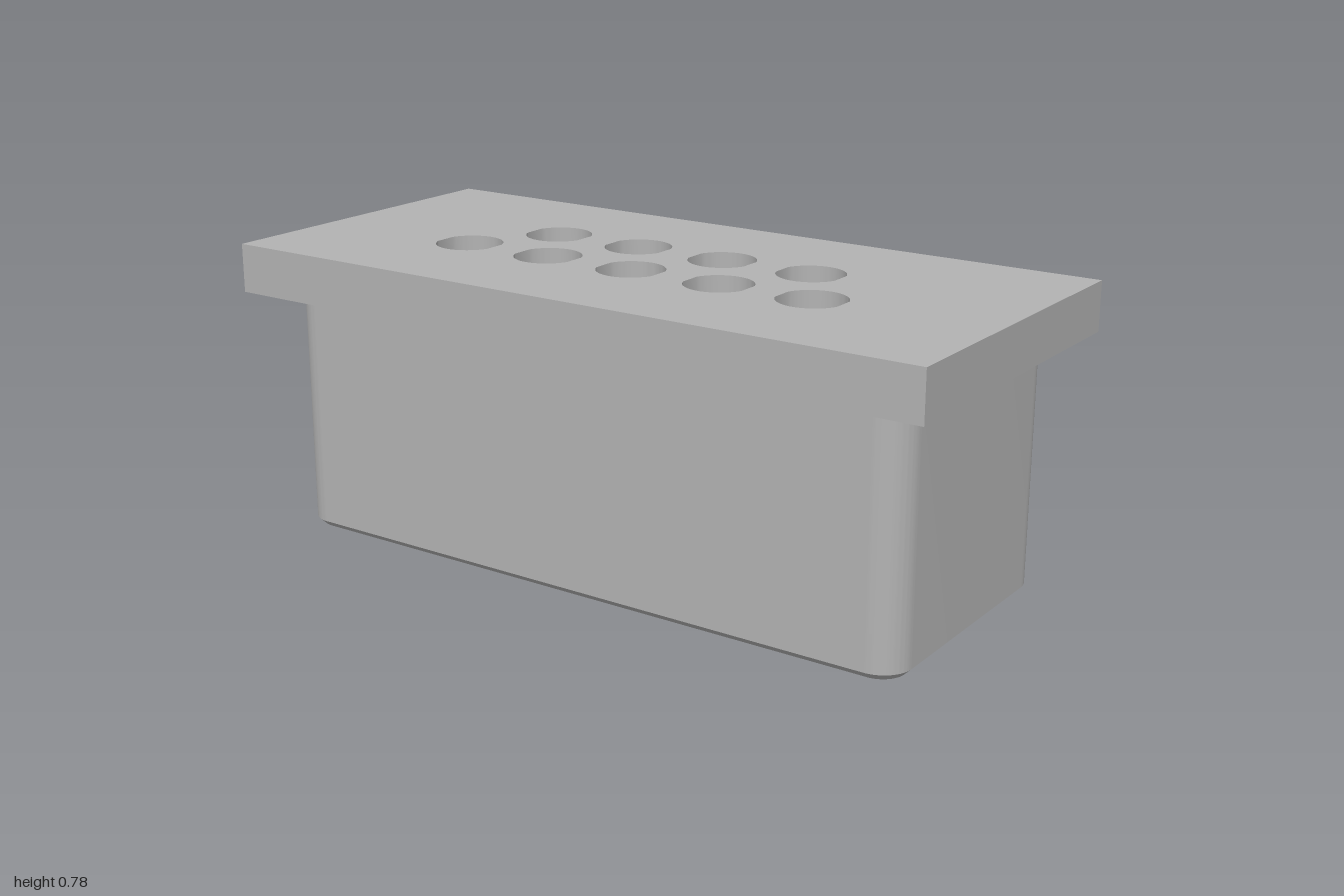
import * as THREE from 'three';
import { toCreasedNormals } from 'three/addons/utils/BufferGeometryUtils.js';

const shellGrey = new THREE.MeshStandardMaterial({ color: 0xb3b3b3 });
shellGrey.name = 'shellGrey';

// Plan outlines use (x, -z), so +y in a shape points to the back.
function roundedRect(hw, hd, r) {
  const s = new THREE.Shape();
  s.absarc(hw - r, hd - r, r, 0, Math.PI / 2);
  s.absarc(-hw + r, hd - r, r, Math.PI / 2, Math.PI);
  s.absarc(-hw + r, -hd + r, r, Math.PI, Math.PI * 1.5);
  s.absarc(hw - r, -hd + r, r, Math.PI * 1.5, Math.PI * 2);
  s.closePath();
  return s;
}

const polygon = (pts) => new THREE.Shape(pts.map(([x, y]) => new THREE.Vector2(x, y)));

// Keyed outline: the two back corners are cut off
function cavityOutline(hw, hd, cut) {
  return polygon([[-hw, -hd], [hw, -hd], [hw, hd - cut], [hw - cut, hd], [-hw + cut, hd], [-hw, hd - cut]]);
}

// Round hole with flats on its two sides
function flattedHole(x, y, r, flat) {
  const a = Math.acos(flat / r);
  const p = new THREE.Path();
  p.absarc(x, y, r, a, Math.PI - a);
  p.absarc(x, y, r, Math.PI + a, Math.PI * 2 - a);
  p.closePath();
  return p;
}

function roundHole(x, y, r) {
  return new THREE.Path().absarc(x, y, r, 0, Math.PI * 2);
}

// Extrudes a plan outline upward from y0 to y1, with optional chamfered ends
function slab(name, shape, y0, y1, chamfer = 0) {
  const geo = new THREE.ExtrudeGeometry(shape, {
    depth: y1 - y0 - 2 * chamfer,
    curveSegments: 14,
    bevelEnabled: chamfer > 0,
    bevelThickness: chamfer,
    bevelSize: chamfer,
    bevelOffset: -chamfer,
    bevelSegments: 1,
  });
  geo.rotateX(-Math.PI / 2).translate(0, y0 + chamfer, 0);
  const mesh = new THREE.Mesh(toCreasedNormals(geo, 0.5), shellGrey);
  mesh.name = name;
  return mesh;
}

export function createModel() {
  const group = new THREE.Group();
  group.name = 'connectorHousing';

  // Two staggered rows: five contacts in front, four behind
  const contacts = [];
  for (let i = 0; i < 5; i++) contacts.push([(i - 2) * 0.26, -0.105]);
  for (let i = 0; i < 4; i++) contacts.push([(i - 1.5) * 0.26, 0.11]);

  // Flange with the wide contact recesses
  const flange = polygon([[-1, -0.457], [1, -0.457], [1, 0.457], [-1, 0.457]]);
  flange.holes = contacts.map(([x, y]) => flattedHole(x, y, 0.088, 0.083));
  group.add(slab('flange', flange, 0.655, 0.784));

  // Hollow body, chamfered round its open lower rim
  const body = roundedRect(0.912, 0.37, 0.08);
  body.holes = [cavityOutline(0.705, 0.265, 0.12)];
  group.add(slab('body', body, 0, 0.67, 0.018));

  // Plate closing the cavity, with the narrow through holes
  const plate = cavityOutline(0.705, 0.265, 0.12);
  plate.holes = contacts.map(([x, y]) => roundHole(x, y, 0.046));
  group.add(slab('contactPlate', plate, 0.56, 0.655));

  // Latch block on the inner face of the front wall
  const latch = new THREE.Mesh(new THREE.BoxGeometry(0.26, 0.11, 0.05), shellGrey);
  latch.name = 'latchBlock';
  latch.position.set(0, 0.075, 0.26);
  group.add(latch);

  return group;
}
